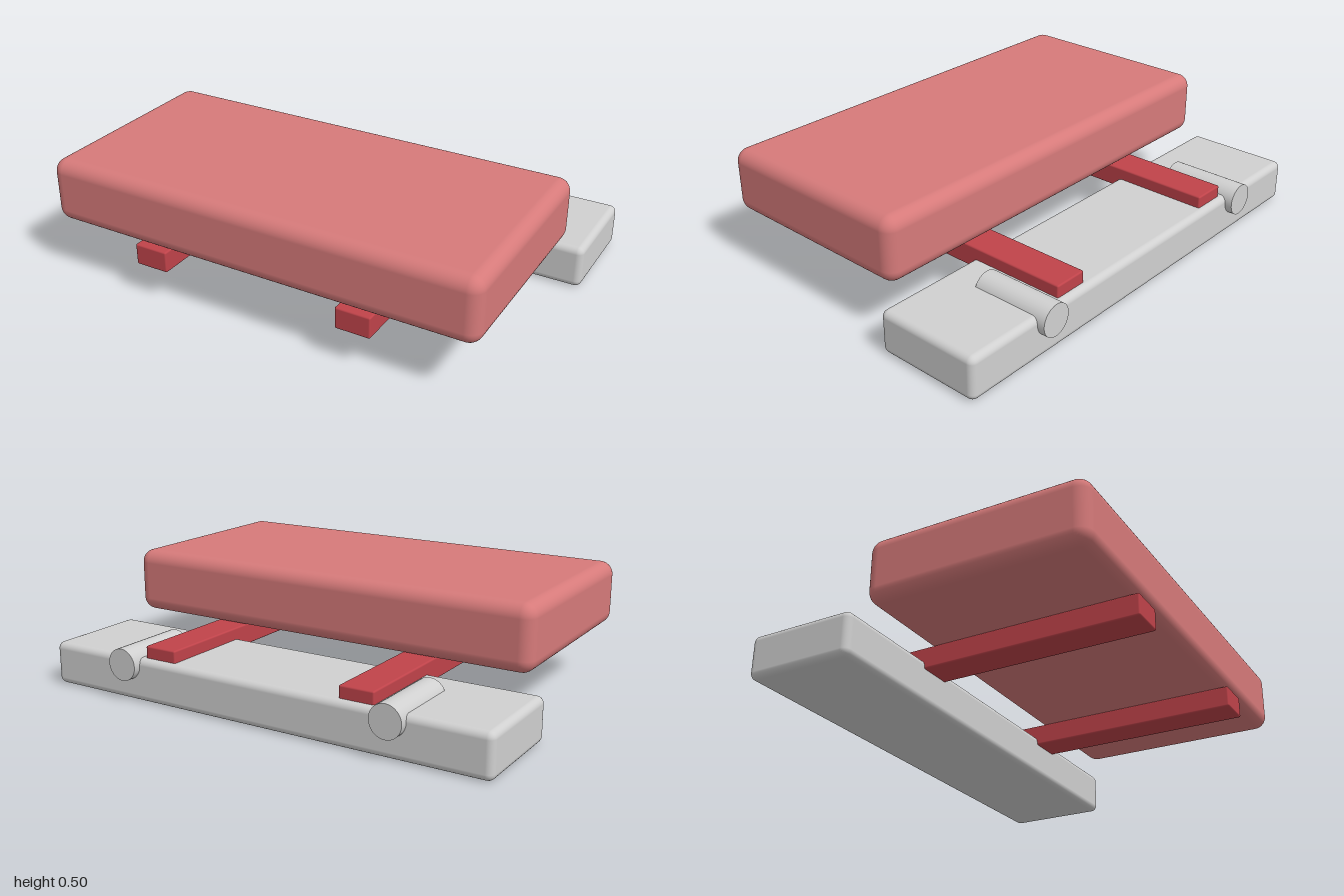
import * as THREE from 'three';
import { RoundedBoxGeometry } from 'three/addons/geometries/RoundedBoxGeometry.js';

function material(name, color) {
  const m = new THREE.MeshStandardMaterial({ color });
  m.name = name;
  return m;
}

export function createModel() {
  const group = new THREE.Group();
  group.name = 'slidingPad';
  const rose = material('rose', 0xd67a7a);
  const red = material('red', 0xc0434a);
  const grey = material('lightGrey', 0xd0d0d0);

  function add(name, geometry, mat, x, y, z) {
    const mesh = new THREE.Mesh(geometry, mat);
    mesh.name = name;
    mesh.position.set(x, y, z);
    group.add(mesh);
    return mesh;
  }

  // Thick cushion with soft edges, at the front
  add('cushion', new RoundedBoxGeometry(1.87, 0.27, 0.91, 5, 0.055), rose, 0, 0.365, 0.243);

  // Low base bar at the back
  add('baseBar', new RoundedBoxGeometry(2, 0.18, 0.452, 4, 0.028), grey, 0, 0.09, -0.441);

  // Mirrored rails and pegs joining the two
  for (const [side, s] of [['left', 1], ['right', -1]]) {
    add(side + 'Rail', new RoundedBoxGeometry(0.147, 0.09, 1.336, 2, 0.007), red, s * 0.453, 0.185, 0.03);
    const peg = add(side + 'Peg', new THREE.CylinderGeometry(0.067, 0.067, 0.334, 32), grey, s * 0.605, 0.153, -0.531);
    peg.rotation.x = Math.PI / 2;
  }
  return group;
}
